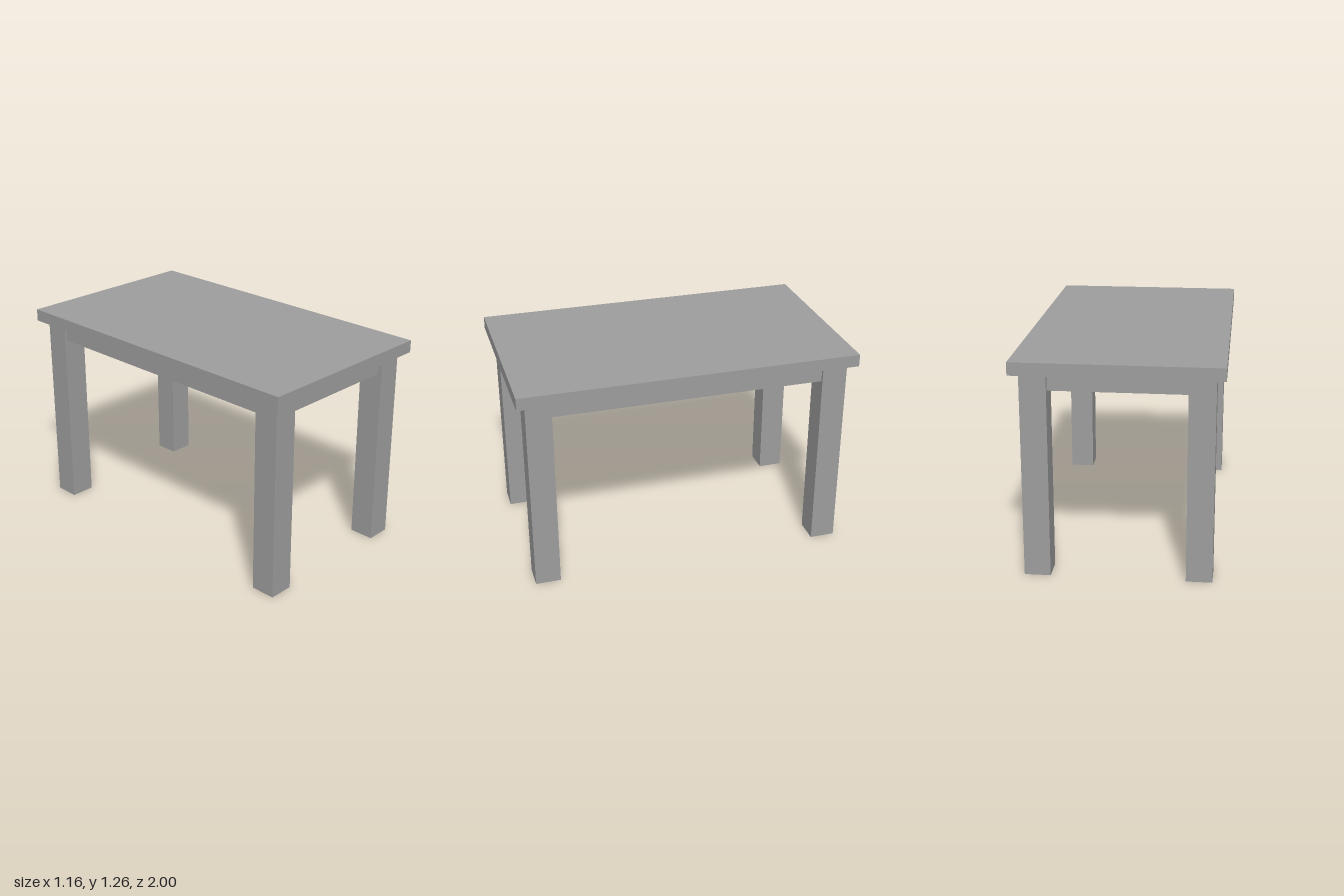
import * as THREE from 'three';

export function createModel() {
  const table = new THREE.Group();
  table.name = 'table';
  const material = new THREE.MeshStandardMaterial({ color: 0x9d9d9d, flatShading: true });

  function addBox(name, width, height, depth, x, bottom, z) {
    const mesh = new THREE.Mesh(new THREE.BoxGeometry(width, height, depth), material);
    mesh.name = name;
    mesh.position.set(x, bottom + height / 2, z);
    table.add(mesh);
  }

  const halfWidth = 0.582, halfDepth = 1;
  const legHeight = 1.184, topThickness = 0.073, overhang = 0.051, leg = 0.149;
  const railHeight = 0.1, railThickness = 0.05;
  const endRecess = 0.025, sideRecess = 0.016;
  const legX = halfWidth - overhang - leg / 2;
  const legZ = halfDepth - overhang - leg / 2;
  const endRailZ = legZ + leg / 2 - endRecess - railThickness / 2;
  const sideRailX = legX + leg / 2 - sideRecess - railThickness / 2;
  const railBottom = legHeight - railHeight;

  addBox('tabletop', halfWidth * 2, topThickness, halfDepth * 2, 0, legHeight, 0);

  // Four square legs
  for (const sx of [1, -1]) {
    for (const sz of [1, -1]) {
      const name = (sz > 0 ? 'front' : 'back') + (sx > 0 ? 'Left' : 'Right') + 'Leg';
      addBox(name, leg, legHeight, leg, sx * legX, 0, sz * legZ);
    }
  }

  // Apron rails between the legs, set slightly in from their outer faces
  for (const s of [1, -1]) {
    addBox(s > 0 ? 'frontApron' : 'backApron', 2 * legX - leg, railHeight, railThickness,
      0, railBottom, s * endRailZ);
    addBox(s > 0 ? 'leftApron' : 'rightApron', railThickness, railHeight, 2 * legZ - leg,
      s * sideRailX, railBottom, 0);
  }

  return table;
}
